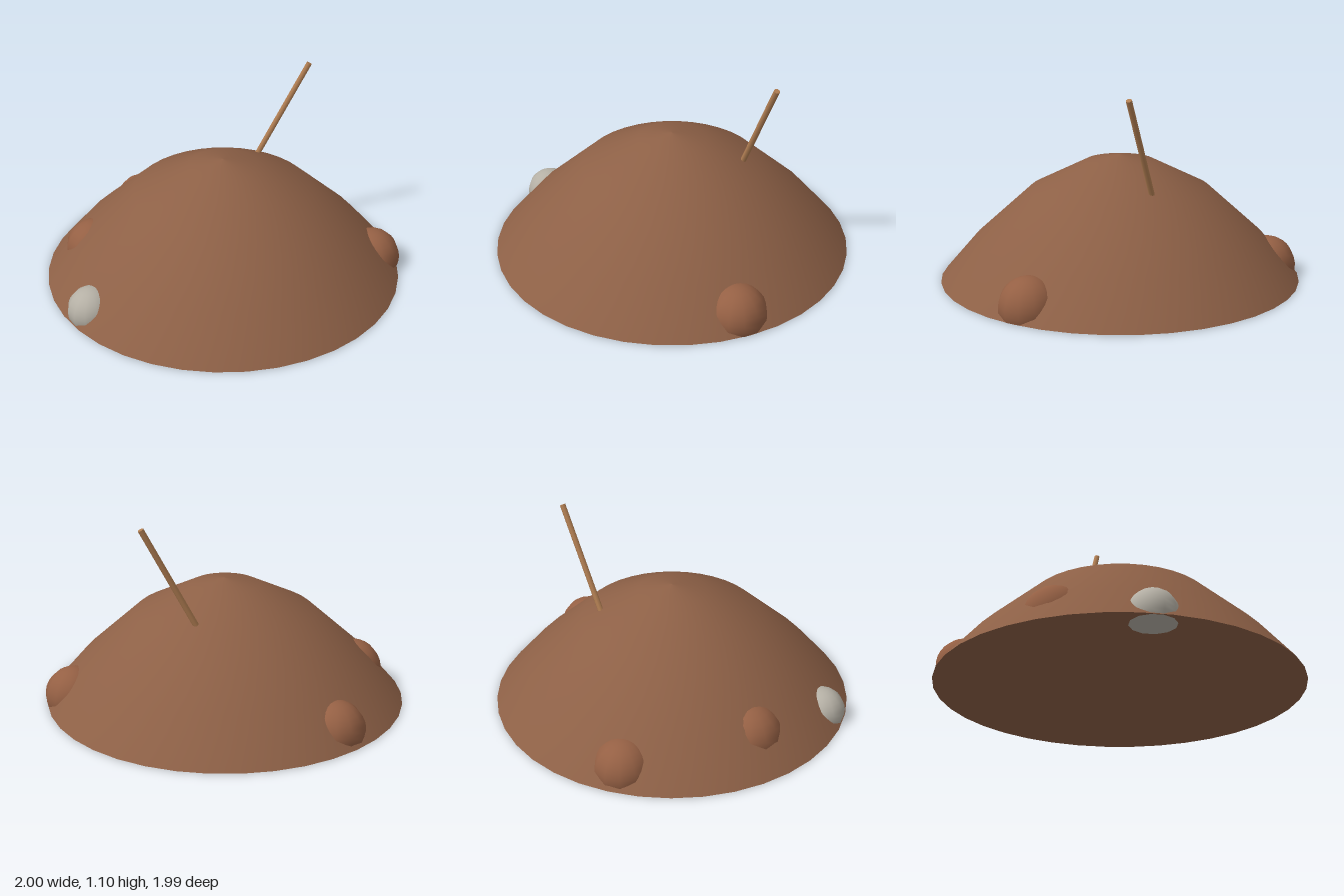
import * as THREE from 'three';

const mat = (name, color) => {
  const m = new THREE.MeshStandardMaterial({ color });
  m.name = name;
  return m;
};

export function createModel() {
  const group = new THREE.Group();
  const soil = mat('soil brown', 0x8d6046);
  const clay = mat('clay brown', 0x956044);
  const paleStone = mat('pale stone', 0xb5b0a5);
  const wood = mat('tan wood', 0xb27f53);

  const add = (name, geometry, material) => {
    const mesh = new THREE.Mesh(geometry, material);
    mesh.name = name;
    group.add(mesh);
    return mesh;
  };

  // Mound: smooth dome turned from a short profile, with a flat underside
  const profile = [[1, 0], [0.81, 0.22], [0.5, 0.5], [0.19, 0.655], [0, 0.69]]
    .map(([r, y]) => new THREE.Vector2(r, y));
  add('mound', new THREE.LatheGeometry(profile, 38, Math.PI / 2), soil);
  add('moundBase', new THREE.CircleGeometry(1, 38).rotateX(Math.PI / 2), soil);

  // Half-buried stones: spheres cut off at ground level
  const stone = (name, x, y, z, r, material) => {
    const cut = Math.acos(-y / r);
    const geometry = new THREE.SphereGeometry(r, 12, 9, 0, Math.PI * 2, 0, cut);
    add(name, geometry, material).position.set(x, y, z);
  };
  stone('frontStone', 0.573, 0.05, 0.63, 0.16, clay);
  stone('backStone', 0.184, 0.05, -0.81, 0.16, clay);
  stone('buriedStone', -0.47, 0.12, -0.56, 0.165, clay);
  stone('paleStone', -0.85, 0.05, -0.206, 0.13, paleStone);

  // Underside of the pale stone, showing through the base
  add('paleStoneBase', new THREE.CircleGeometry(0.12, 12).rotateX(Math.PI / 2), paleStone)
    .position.set(-0.85, -0.001, -0.206);

  // Stick planted in the slope
  const top = new THREE.Vector3(0.608, 1.092, 0.115);
  const foot = new THREE.Vector3(0.375, 0.51, -0.083);
  const axis = top.clone().sub(foot);
  const stick = add('stick', new THREE.CylinderGeometry(0.016, 0.016, axis.length(), 8), wood);
  stick.position.copy(foot).add(top).multiplyScalar(0.5);
  stick.quaternion.setFromUnitVectors(new THREE.Vector3(0, 1, 0), axis.normalize());

  return group;
}
